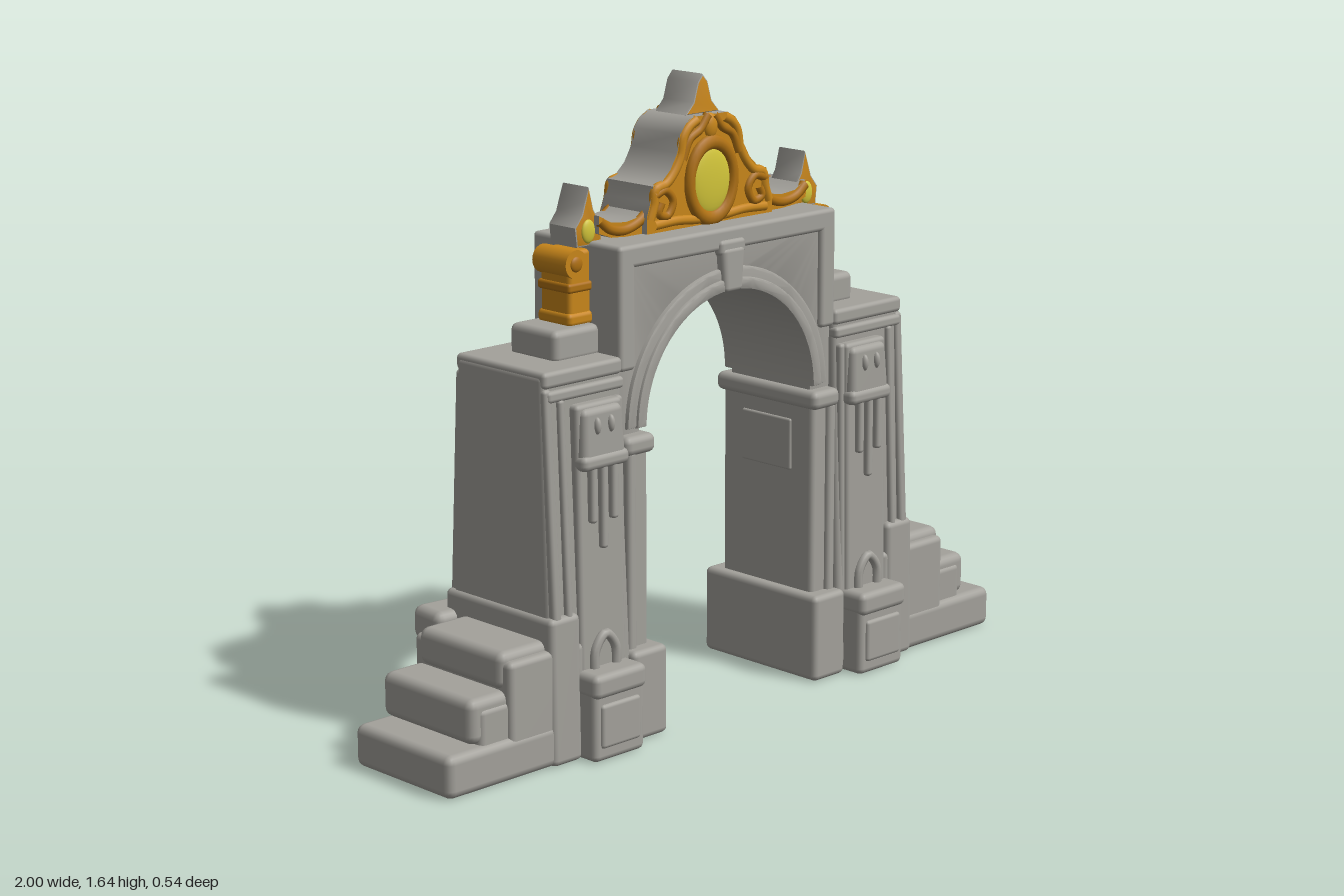
import * as THREE from 'three';
import { RoundedBoxGeometry } from 'three/addons/geometries/RoundedBoxGeometry.js';
import { toCreasedNormals } from 'three/addons/utils/BufferGeometryUtils.js';

const material = (name, color) => {
  const m = new THREE.MeshStandardMaterial({ color });
  m.name = name;
  return m;
};

export function createModel() {
  const stone = material('stone', 0xa3a19b);
  const gold = material('gold', 0xc8861a);
  const darkGold = material('darkGold', 0xae7012);
  const yellow = material('yellow', 0xd3c63a);
  const gate = new THREE.Group();
  gate.name = 'archGate';

  const add = (name, geometry, mat, x = 0, y = 0, z = 0) => {
    const mesh = new THREE.Mesh(geometry, mat);
    mesh.name = name;
    mesh.position.set(x, y, z);
    gate.add(mesh);
    return mesh;
  };

  // Soft-edged block between two corners; top is scaled by tx, tz
  const block = (name, mat, [x0, x1], [y0, y1], [z0, z1], r = 0.014, tx = 1, tz = 1) => {
    const w = x1 - x0, h = y1 - y0, d = z1 - z0;
    const g = new RoundedBoxGeometry(w, h, d, 2, Math.min(r, w * 0.45, h * 0.45, d * 0.45));
    const p = g.attributes.position;
    for (let i = 0; i < p.count; i++) {
      const t = p.getY(i) / h + 0.5;
      p.setX(i, p.getX(i) * (1 + (tx - 1) * t));
      p.setZ(i, p.getZ(i) * (1 + (tz - 1) * t));
    }
    return add(name, g, mat, (x0 + x1) / 2, (y0 + y1) / 2, (z0 + z1) / 2);
  };

  // The same block on both sides of the gate
  const pair = (name, mat, [x0, x1], ys, zs, r, tx, tz) => {
    block(name, mat, [x0, x1], ys, zs, r, tx, tz);
    block(name, mat, [-x1, -x0], ys, zs, r, tx, tz);
  };
  const both = (z) => [-z, z];

  // Extrusion centred on z = 0
  const slab = (name, shape, half, mats, bevel = 0.01) => {
    const g = new THREE.ExtrudeGeometry(shape, {
      depth: 2 * (half - bevel), bevelEnabled: bevel > 0, bevelThickness: bevel,
      bevelSize: bevel, bevelOffset: -bevel, bevelSegments: 2, curveSegments: 28,
    });
    g.translate(0, 0, -(half - bevel));
    return add(name, toCreasedNormals(g, 0.6), mats);
  };

  const tube = (name, points, r, mat, z, closed = false) => {
    const curve = new THREE.CatmullRomCurve3(points.map(([x, y]) => new THREE.Vector3(x, y, z)), closed);
    return add(name, new THREE.TubeGeometry(curve, points.length * 5, r, 8, closed), mat);
  };
  const ball = (name, mat, x, y, z, rx, ry, rz) =>
    add(name, new THREE.SphereGeometry(1, 24, 14), mat, x, y, z).scale.set(rx, ry, rz);

  // Arch wall with its opening
  const wall = new THREE.Shape();
  wall.moveTo(-0.385, 0.02);
  wall.lineTo(-0.31, 0.02);
  wall.lineTo(-0.31, 0.8);
  wall.absarc(0, 0.8, 0.31, Math.PI, 0, true);
  wall.lineTo(0.31, 0.02);
  wall.lineTo(0.385, 0.02);
  wall.lineTo(0.385, 1.262);
  wall.lineTo(-0.385, 1.262);
  wall.closePath();
  slab('archWall', wall, 0.146, stone, 0.008);

  // Raised frame and arch ring
  block('topFrame', stone, [-0.39, 0.39], [1.208, 1.266], both(0.16), 0.012);
  pair('sideFrame', stone, [0.335, 0.39], [0.95, 1.26], both(0.16), 0.012);
  const ring = (name, inner, outer, half) => {
    const s = new THREE.Shape();
    s.absarc(0, 0.8, outer, 0, Math.PI, false);
    s.absarc(0, 0.8, inner, Math.PI, 0, true);
    s.closePath();
    slab(name, s, half, stone, 0.007);
  };
  ring('archRing', 0.305, 0.362, 0.158);
  ring('archInnerRing', 0.303, 0.335, 0.166);

  // Keystone
  block('keystone', stone, [-0.031, 0.031], [1.1, 1.215], both(0.172), 0.012, 1.35, 1);
  block('keystoneCap', stone, [-0.046, 0.046], [1.195, 1.236], both(0.168), 0.012);

  // Piers
  pair('pierBody', stone, [0.38, 0.657], [0.02, 0.985], both(0.195), 0.016, 0.95, 0.8);
  pair('pierCornice', stone, [0.385, 0.648], [0.95, 0.992], both(0.164), 0.012);
  pair('pierCorniceBand', stone, [0.385, 0.64], [0.915, 0.945], both(0.17), 0.01);
  pair('pierEdgeRib', stone, [0.622, 0.65], [0.36, 0.95], both(0.196), 0.01, 0.9, 0.84);
  pair('pierInnerRib', stone, [0.585, 0.605], [0.36, 0.92], both(0.196), 0.009, 1, 0.87);
  pair('pierBase', stone, [0.565, 0.665], [0, 0.38], both(0.206), 0.016, 1, 0.97);

  // Jambs, plinths and imposts
  pair('jamb', stone, [0.3, 0.378], [0.2, 0.76], both(0.165), 0.014);
  pair('jambEdgeRib', stone, [0.35, 0.38], [0.2, 0.75], both(0.178), 0.012);
  pair('jambPanel', stone, [0.294, 0.32], [0.56, 0.7], both(0.09), 0.006);
  pair('jambPlinth', stone, [0.272, 0.392], [0, 0.236], both(0.208), 0.016);
  pair('impost', stone, [0.288, 0.39], [0.737, 0.787], both(0.184), 0.018);

  // Pilasters with capitals and pedestals
  pair('pilaster', stone, [0.408, 0.562], [0.2, 0.9], both(0.197), 0.012, 1, 0.94);
  pair('pilasterEdge', stone, [0.395, 0.42], [0.2, 0.9], both(0.187), 0.01, 1, 0.94);
  pair('capital', stone, [0.41, 0.558], [0.745, 0.89], both(0.207), 0.018, 0.9, 0.96);
  pair('capitalFoot', stone, [0.405, 0.562], [0.735, 0.775], both(0.212), 0.016);
  for (const x of [0.45, 0.485, 0.52])
    pair('pilasterFlute', stone, [x - 0.011, x + 0.011], [x === 0.485 ? 0.53 : 0.6, 0.75], both(0.207), 0.009);
  pair('pedestal', stone, [0.4, 0.572], [0, 0.205], both(0.255), 0.016);
  pair('pedestalCap', stone, [0.398, 0.575], [0.165, 0.228], both(0.264), 0.018);
  pair('pedestalPanel', stone, [0.42, 0.553], [0.035, 0.15], both(0.263), 0.01);

  for (const s of [1, -1]) for (const f of [1, -1]) {
    // Small arch above each pedestal, studs on each capital
    tube('pedestalArch', [[0.448, 0.21], [0.452, 0.275], [0.485, 0.31], [0.518, 0.275], [0.522, 0.21]]
      .map(([x, y]) => [s * x, y]), 0.013, stone, f * 0.2);
    for (const x of [0.462, 0.508]) ball('capitalStud', stone, s * x, 0.845, f * 0.2, 0.01, 0.022, 0.012);
  }

  // Steps
  pair('lowerStep', stone, [0.55, 1.0], [0, 0.11], [-0.16, 0.2], 0.022);
  pair('middleStepRiser', stone, [0.55, 0.885], [0.05, 0.2], [-0.152, 0.185], 0.016);
  pair('middleStep', stone, [0.55, 0.912], [0.11, 0.226], [-0.158, 0.18], 0.024);
  pair('upperStepRiser', stone, [0.55, 0.798], [0.05, 0.3], [-0.165, 0.197], 0.016);
  pair('upperStep', stone, [0.55, 0.808], [0.225, 0.322], [-0.14, 0.175], 0.024);
  block('looseStone', stone, [-0.72, -0.56], [0.24, 0.33], [-0.268, -0.15], 0.024).rotation.y = -0.1;

  // Shoulder blocks under the finials
  pair('shoulderBlock', stone, [0.385, 0.54], [0.98, 1.065], both(0.085), 0.018);

  // Crest silhouette, right half from peak to base
  const half = [[0, 1.645], [0.018, 1.625], [0.033, 1.575], [0.06, 1.545], [0.088, 1.53], [0.108, 1.505],
    [0.118, 1.46], [0.142, 1.42], [0.17, 1.395], [0.203, 1.385], [0.212, 1.345], [0.225, 1.31]];
  const mirror = (pts) => pts.map(([x, y]) => [-x, y]);
  const outline = [...half, [0.225, 1.266], ...mirror([...half.slice(1), [0.225, 1.266]]).reverse()];
  const polygon = (pts) => new THREE.Shape(pts.map(([x, y]) => new THREE.Vector2(x, y)));
  // Grey peak is thinner than the body
  slab('crestPeak', polygon([half[0], half[1], half[2], half[3], ...mirror([half[1], half[2], half[3]]).reverse()]),
    0.056, [gold, stone], 0.004);
  const body = outline.filter(([, y]) => y < 1.56);
  slab('crestBody', polygon(body), 0.084, [gold, stone], 0);

  for (const s of [1, -1]) {
    // Swag arm between crest and finial
    const arm = [[0.2, 1.335], [0.235, 1.31], [0.28, 1.303], [0.33, 1.308], [0.372, 1.33],
      [0.372, 1.285], [0.33, 1.27], [0.28, 1.266], [0.2, 1.266]].map(([x, y]) => [s * x, y]);
    slab('swagArm', polygon(arm), 0.066, [gold, stone], 0);

    // Finial post, scroll and spire
    const x = (a, b) => (s > 0 ? [a, b] : [-b, -a]);
    block('finialPost', gold, x(0.388, 0.462), [1.06, 1.25], both(0.054), 0.012);
    block('finialFoot', gold, x(0.385, 0.468), [1.06, 1.095], both(0.06), 0.012);
    block('finialBand', darkGold, x(0.386, 0.468), [1.145, 1.17], both(0.059), 0.008);
    const scroll = new THREE.CylinderGeometry(0.036, 0.036, 0.122, 20);
    scroll.rotateX(Math.PI / 2);
    add('finialScroll', scroll, gold, s * 0.444, 1.218, 0);
    const spire = [[0.345, 1.255], [0.35, 1.31], [0.372, 1.345], [0.388, 1.402], [0.402, 1.365],
      [0.412, 1.335], [0.436, 1.305], [0.43, 1.255]].map(([a, b]) => [s * a, b]);
    slab('finialSpire', polygon(spire), 0.048, [gold, stone], 0.004);

    for (const f of [1, -1]) {
      // Relief on both faces
      tube('crestRim', half.slice(3).map(([a, b]) => [s * (a - 0.012), b - 0.01]), 0.014, gold, f * 0.08);
      tube('crestScroll', [[0.2, 1.36], [0.16, 1.37], [0.135, 1.34], [0.155, 1.305], [0.185, 1.315], [0.175, 1.34]]
        .map(([a, b]) => [s * a, b]), 0.012, darkGold, f * 0.083);
      tube('crestLeaf', [[0.01, 1.545], [0.04, 1.51], [0.075, 1.49], [0.1, 1.44]]
        .map(([a, b]) => [s * a, b]), 0.012, darkGold, f * 0.083);
      tube('crestBase', [[0, 1.28], [0.06, 1.283], [0.12, 1.288], [0.2, 1.285]]
        .map(([a, b]) => [s * a, b]), 0.013, gold, f * 0.082);
      tube('swagRope', [[0.19, 1.33], [0.235, 1.297], [0.285, 1.283], [0.335, 1.292], [0.37, 1.318]]
        .map(([a, b]) => [s * a, b]), 0.014, darkGold, f * 0.062);
      ball('finialGem', yellow, s * 0.392, 1.292, f * 0.048, 0.022, 0.03, 0.009);
      ball('scrollEye', darkGold, s * 0.444, 1.218, f * 0.06, 0.02, 0.02, 0.008);
    }
  }

  // Oval medallion on both faces
  for (const f of [1, -1]) {
    const frame = new THREE.TorusGeometry(0.078, 0.016, 10, 36);
    frame.scale(1, 1.25, 1);
    add('medallionFrame', frame, darkGold, 0, 1.377, f * 0.085);
    ball('medallion', yellow, 0, 1.377, f * 0.084, 0.068, 0.087, 0.014);
    ball('crestBud', gold, 0, 1.515, f * 0.08, 0.024, 0.034, 0.016);
  }
  return gate;
}
